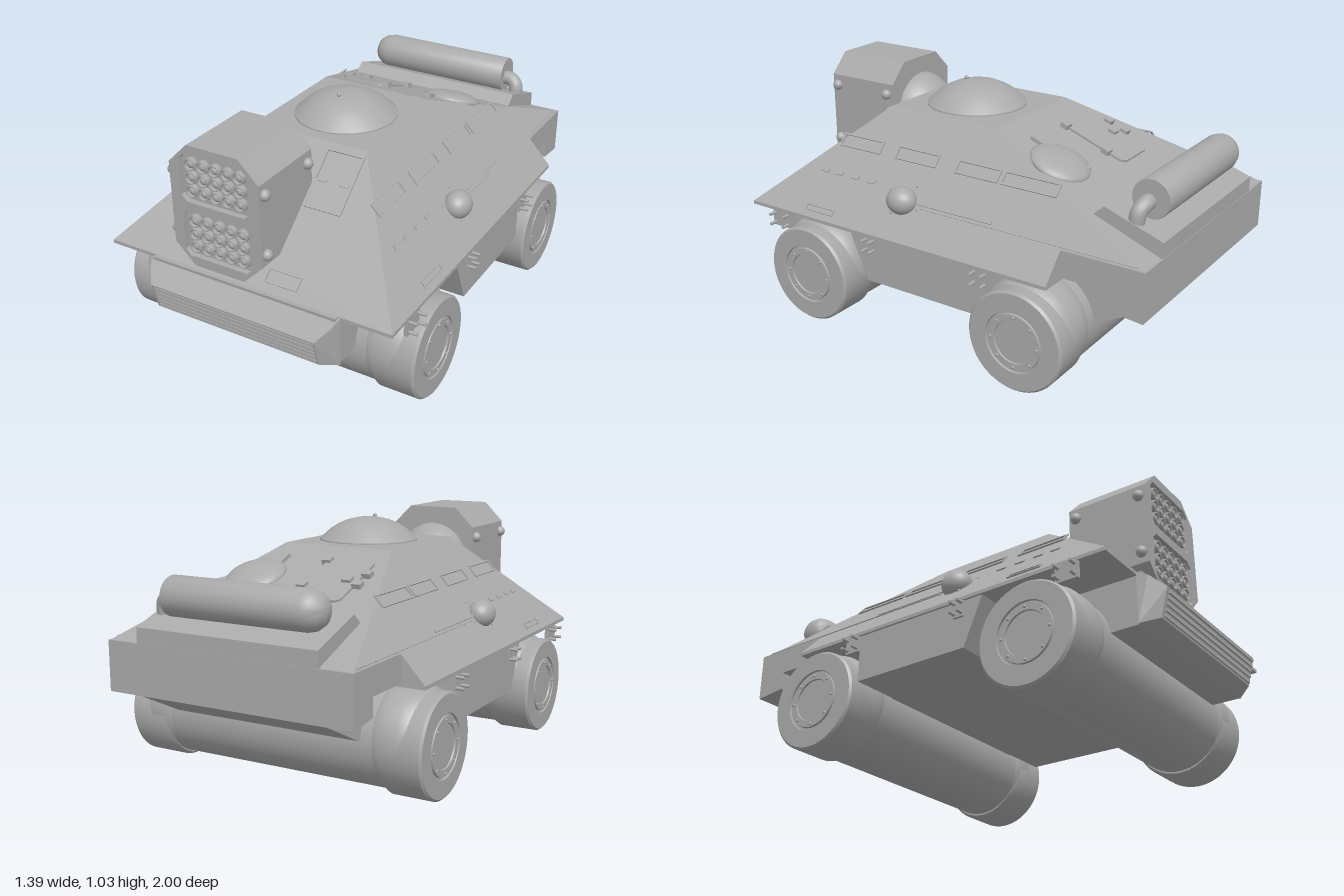
import * as THREE from 'three';
import { toCreasedNormals } from 'three/addons/utils/BufferGeometryUtils.js';
import { ConvexGeometry } from 'three/addons/geometries/ConvexGeometry.js';

const V = (x, y, z) => new THREE.Vector3(x, y, z);

export function createModel() {
  const model = new THREE.Group();
  model.name = 'armouredCar';
  const grey = new THREE.MeshStandardMaterial({ color: 0xaaaaaa });
  grey.name = 'plain grey';

  const add = (name, geo, x = 0, y = 0, z = 0, parent = model) => {
    const m = new THREE.Mesh(geo, grey);
    m.name = name;
    m.position.set(x, y, z);
    parent.add(m);
    return m;
  };
  const box = (name, w, h, d, x, y, z) => add(name, new THREE.BoxGeometry(w, h, d), x, y, z);
  // convex solid from mirrored points (each x is used on both sides)
  const solid = (name, pts) =>
    add(name, new ConvexGeometry(pts.flatMap(([x, y, z]) => [V(x, y, z), V(-x, y, z)])));
  const lathe = (pts, seg = 48) =>
    toCreasedNormals(new THREE.LatheGeometry(pts.map(p => new THREE.Vector2(...p)), seg), 0.6);
  const polygon = pts => new THREE.Shape(pts.map(p => new THREE.Vector2(...p)));
  const chamfered = (w, h, c) => [[-w + c, -h], [w - c, -h], [w, -h + c], [w, h - c],
    [w - c, h], [-w + c, h], [-w, h - c], [-w, -h + c]];
  const extrude = (shape, depth) =>
    new THREE.ExtrudeGeometry(shape, { depth, bevelEnabled: false, curveSegments: 8 });
  const frame = (w, h, t, depth) => {
    const s = polygon(chamfered(w / 2, h / 2, 0.001));
    s.holes.push(polygon(chamfered(w / 2 - t, h / 2 - t, 0.001)));
    return extrude(s, depth);
  };
  // lay a part on a sloping plate: local z along the normal, local y up the slope
  const lay = (m, n) => {
    n = n.clone().normalize();
    const v = V(0, 1, 0).addScaledVector(n, -n.y).normalize();
    m.quaternion.setFromRotationMatrix(new THREE.Matrix4().makeBasis(v.clone().cross(n), v, n));
    return m;
  };
  const onSide = (name, geo, s, y, z) =>
    lay(add(name, geo, s * (0.265 + (0.91 - y) * 0.9186), y, z), V(s * 0.43, 0.395, 0));
  const onFront = (name, geo, x, z) =>
    lay(add(name, geo, x, 0.91 - (z - 0.4) * 0.86, z), V(0, 0.5, 0.43));
  const onRear = (name, geo, x, z) =>
    lay(add(name, geo, x, 0.91 + (z + 0.16) * 0.381, z), V(0, 0.84, -0.32));

  // hull
  solid('upperHull', [[0.265, 0.91, 0.4], [0.265, 0.91, -0.16], [0.55, 0.6, 0.76],
    [0.55, 0.6, -0.98], [0.56, 0.585, -1]]);
  solid('sponsons', [[0.55, 0.6, 0.76], [0.55, 0.6, -0.64], [0.66, 0.48, 0.9],
    [0.66, 0.48, -0.64], [0.66, 0.465, 0.9], [0.66, 0.465, -0.64]]);
  solid('lowerHull', [[0.43, 0.48, 0.92], [0.43, 0.26, 0.9], [0.43, 0.26, -0.74],
    [0.43, 0.39, -1], [0.43, 0.5, -1]]);
  solid('belly', [[0.65, 0.47, 0.34], [0.65, 0.4, 0.28], [0.65, 0.26, 0.25],
    [0.65, 0.26, -0.3], [0.65, 0.47, -0.3]]);
  box('rearShelf', 1.12, 0.115, 0.36, 0, 0.5375, -0.82);
  solid('rearBox', [[0.56, 0.59, -0.86], [0.56, 0.59, -1], [0.56, 0.385, -1], [0.56, 0.4, -0.86]]);

  // nose with louvres
  solid('nose', [[0.44, 0.475, 0.9], [0.44, 0.26, 0.9], [0.43, 0.455, 0.945],
    [0.385, 0.405, 1], [0.385, 0.285, 0.968]]);
  for (let i = 0; i < 5; i++)
    box('louvre', 0.75, 0.013, 0.014, 0.005, 0.3 + i * 0.023, 0.97 + i * 0.0063);

  // wheels, rollers and rounded tyre pods
  const wheelGeo = lathe([[0, -0.1], [0.205, -0.1], [0.216, -0.08], [0.216, 0.085], [0.207, 0.095],
    [0.132, 0.095], [0.13, 0.086], [0.122, 0.086], [0.12, 0.095], [0.092, 0.095], [0.09, 0.088], [0, 0.088]], 56);
  const podGeo = lathe([[0, -0.1], [0.16, -0.1], [0.195, -0.088], [0.212, -0.06], [0.217, -0.03],
    [0.217, 0.04], [0.208, 0.075], [0.19, 0.1], [0, 0.1]], 56);
  for (const z of [0.565, -0.515]) {
    add('roller', new THREE.CylinderGeometry(0.212, 0.212, 1, 56), 0, 0.232, z).rotation.z = Math.PI / 2;
    for (const s of [-1, 1]) {
      add('wheel', wheelGeo, s * 0.595, 0.217, z).rotation.z = -s * Math.PI / 2;
      add('tyrePod', podGeo, s * 0.54, 0.235, z).rotation.z = -s * Math.PI / 2;
      for (let i = 0; i < 8; i++) {
        const a = i * Math.PI / 4;
        add('wheelBolt', new THREE.SphereGeometry(0.007, 8, 6),
          s * 0.689, 0.217 + Math.cos(a) * 0.108, z + Math.sin(a) * 0.108);
      }
    }
  }

  // side fittings
  for (const s of [-1, 1]) {
    for (const [a, b] of [[0.575, 0.35], [0.27, 0.05], [-0.045, -0.26], [-0.275, -0.54]])
      onSide('sideWindow', frame(a - b, 0.062, 0.008, 0.007), s, 0.76, (a + b) / 2);
    for (const z of [0.59, 0.51, 0.42, 0.33])
      onSide('visionSlit', new THREE.BoxGeometry(0.042, 0.018, 0.012), s, 0.645, z);
    onSide('sideSlot', frame(0.155, 0.03, 0.006, 0.006), s, 0.512, 0.525);
    onSide('sideRail', new THREE.BoxGeometry(0.4, 0.012, 0.012), s, 0.615, -0.11);
    onSide('edgeStrip', new THREE.BoxGeometry(1.0, 0.008, 0.008), s, 0.603, -0.46);
    const lamp = add('sideLamp', new THREE.SphereGeometry(0.06, 28, 20), s * 0.55, 0.617, 0.132);
    lamp.scale.z = 1.15;
    for (let i = 0; i < 4; i++) {
      const a = i * Math.PI / 2 + 0.4;
      onSide('lampBolt', new THREE.SphereGeometry(0.007, 8, 6), s,
        0.617 + Math.sin(a) * 0.055, 0.132 + Math.cos(a) * 0.09);
    }
    // wheel arch brackets with pins
    for (const [z, w] of [[0.73, 0.1], [0.225, 0.05], [-0.335, 0.07]]) {
      box('archBracket', 0.015, 0.08, w, s * 0.652, 0.435, z);
      for (const y of [0.455, 0.41])
        for (const e of [-1, 1])
          add('pin', new THREE.CylinderGeometry(0.007, 0.007, 0.05, 10),
            s * 0.67, y, z + e * w * 0.36).rotation.z = Math.PI / 2;
    }
  }

  // front plate fittings
  onFront('frontPanel', frame(0.175, 0.26, 0.01, 0.007), 0.187, 0.52);
  onFront('frontPanelStep', new THREE.BoxGeometry(0.175, 0.125, 0.012), 0.187, 0.572);
  for (const x of [0.14, 0.24]) onFront('panelHinge', new THREE.BoxGeometry(0.04, 0.012, 0.02), x, 0.527);
  onFront('frontSlot', frame(0.15, 0.06, 0.006, 0.006), 0.155, 0.85);

  // rocket launcher
  const launcher = new THREE.Group();
  launcher.name = 'launcher';
  launcher.position.set(-0.112, 0.76, 0.54);
  model.add(launcher);
  const outline = chamfered(0.208, 0.268, 0.09);
  add('launcherBody', extrude(polygon(outline), 0.335), 0, 0, 0, launcher);
  const face = polygon(outline);
  for (const s of [-1, 1])
    face.holes.push(polygon(chamfered(0.16, 0.103, 0.025).map(([x, y]) => [x, y + s * 0.123])));
  add('launcherFace', extrude(face, 0.025), 0, 0, 0.335, launcher);
  const tubeGeo = lathe([[0.026, 0], [0.026, 0.024], [0.021, 0.024], [0.021, 0.006]], 20);
  const tipGeo = new THREE.SphereGeometry(0.02, 16, 10);
  for (const s of [-1, 1])
    for (let r = -1; r <= 1; r++)
      for (let c = -2; c <= 2; c++) {
        add('launchTube', tubeGeo, c * 0.0565, s * 0.125 + r * 0.058, 0.335, launcher).rotation.x = Math.PI / 2;
        add('rocketTip', tipGeo, c * 0.0565, s * 0.125 + r * 0.058, 0.337, launcher);
      }
  for (const x of [-0.212, 0.212])
    for (const y of [0.13, -0.13])
      for (const z of [0.035, 0.33])
        add('launcherKnob', new THREE.SphereGeometry(0.024, 16, 12), x, y, z, launcher);
  add('launcherMount', new THREE.SphereGeometry(0.178, 36, 24), -0.115, 0.775, 0.565);

  // roof cupola
  add('cupola', lathe([[0.22, 0.9], [0.22, 0.915], [0.172, 0.958], [0.14, 0.978], [0.1, 0.996],
    [0.05, 1.008], [0, 1.012]], 56), 0.01, 0, 0.127);
  add('cupolaStud', new THREE.SphereGeometry(0.009, 10, 8), 0.01, 1.012, 0.185);

  // rear hatch with hinges, and the vent dome beside it
  const hatch = new THREE.Shape(), w = 0.11, h = 0.168, r = 0.035;
  hatch.absarc(w - r, h - r, r, 0, Math.PI / 2);
  hatch.absarc(-w + r, h - r, r, Math.PI / 2, Math.PI);
  hatch.absarc(-w + r, -h + r, r, Math.PI, Math.PI * 1.5);
  hatch.absarc(w - r, -h + r, r, Math.PI * 1.5, Math.PI * 2);
  onRear('rearHatch', extrude(hatch, 0.01), -0.145, -0.428);
  for (const [x, z] of [[-0.27, -0.46], [-0.27, -0.38], [-0.21, -0.435], [-0.035, -0.5], [-0.035, -0.3]])
    onRear('hatchHinge', new THREE.BoxGeometry(0.04, 0.035, 0.045), x, z);
  onRear('ventDome', new THREE.SphereGeometry(0.13, 32, 16), 0.235, -0.44).scale.z = 0.3;
  onRear('ventHandle', new THREE.BoxGeometry(0.035, 0.13, 0.03), 0.187, -0.335);
  onRear('ventCatch', new THREE.BoxGeometry(0.045, 0.015, 0.04), 0.187, -0.53);

  // exhaust silencer on its wedge
  solid('silencerWedge', [[0.415, 0.7, -0.69], [0.415, 0.748, -0.742], [0.415, 0.66, -0.998],
    [0.415, 0.59, -0.998], [0.415, 0.6, -0.69]]);
  add('silencer', lathe([[0, -0.35], [0.08, -0.35], [0.082, -0.345], [0.082, 0.28], [0.075, 0.315],
    [0.055, 0.343], [0.03, 0.357], [0, 0.361]], 36), -0.032, 0.777, -0.89).rotation.z = Math.PI / 2;
  add('exhaustPipe', new THREE.TubeGeometry(new THREE.CatmullRomCurve3([V(0.3, 0.765, -0.88),
    V(0.345, 0.765, -0.88), V(0.375, 0.74, -0.87), V(0.378, 0.66, -0.86)]), 20, 0.033, 16));

  return model;
}
